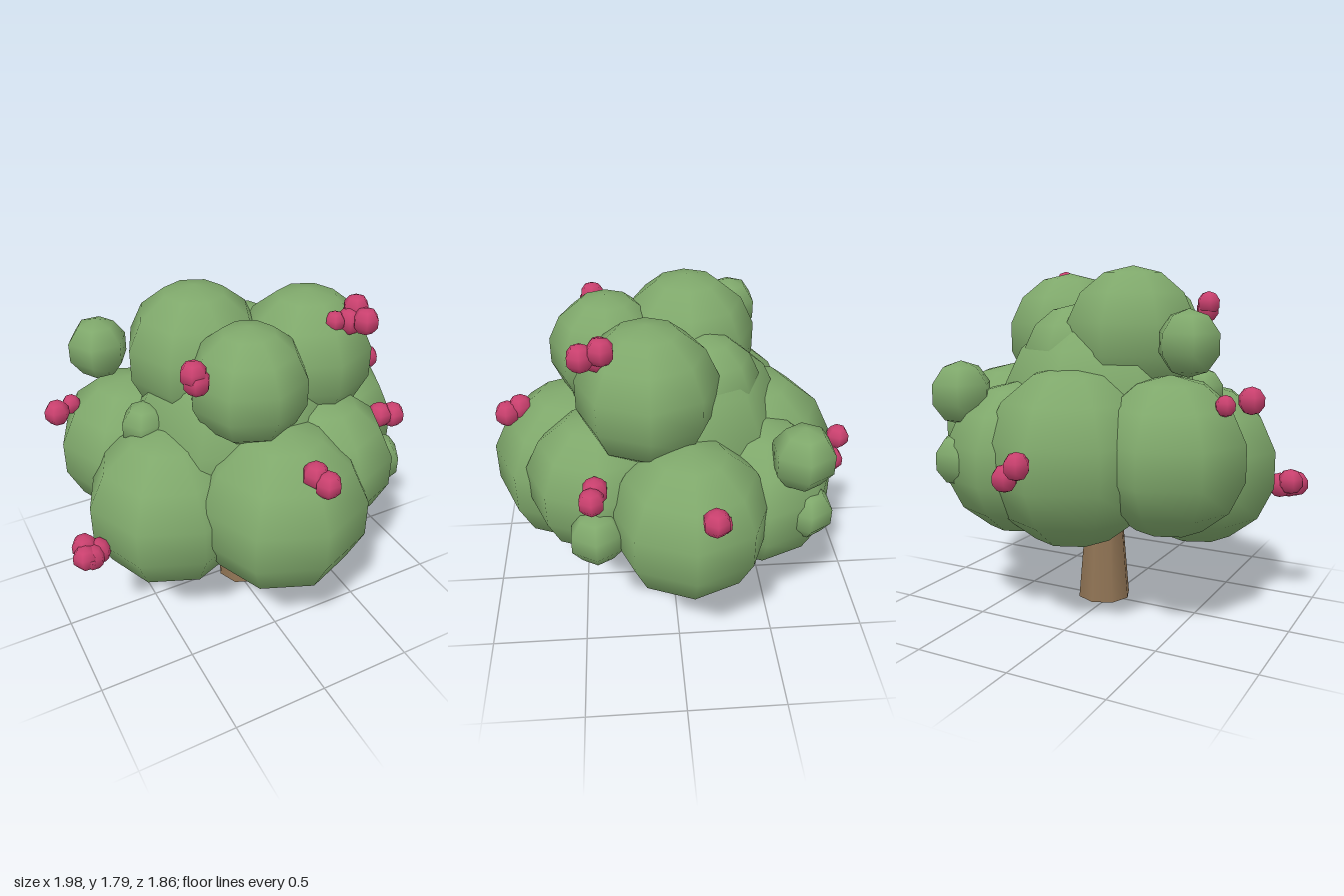
import * as THREE from 'three';

const leaf = new THREE.MeshStandardMaterial({ name: 'leaf green', color: 0x7fa86b });
const bark = new THREE.MeshStandardMaterial({ name: 'bark brown', color: 0x8f7354 });
const blossom = new THREE.MeshStandardMaterial({ name: 'blossom pink', color: 0xc9406e });

// Adds one low-poly ball per entry [x, y, z, radius]
function addBalls(parent, name, entries, material, sides, rows) {
  const group = new THREE.Group();
  group.name = name;
  entries.forEach(([x, y, z, r], i) => {
    const ball = new THREE.Mesh(new THREE.SphereGeometry(r, sides, rows), material);
    ball.name = `${name}${i + 1}`;
    ball.position.set(x, y, z);
    group.add(ball);
  });
  parent.add(group);
}

export function createModel() {
  const tree = new THREE.Group();
  tree.name = 'floweringTree';

  // Tapered trunk, its top hidden in the foliage
  const trunk = new THREE.Mesh(new THREE.CylinderGeometry(0.08, 0.145, 0.75, 8), bark);
  trunk.name = 'trunk';
  trunk.position.set(0.05, 0.375, 0.025);
  tree.add(trunk);

  // Core and lower ring of foliage
  addBalls(tree, 'lowerFoliage', [
    [0.02, 1.02, 0, 0.58],
    [0, 0.845, 0.5, 0.435],
    [-0.44, 0.775, 0.16, 0.425],
    [0.3, 0.93, 0.38, 0.365],
    [0.575, 0.885, -0.04, 0.39],
    [0, 0.87, -0.39, 0.45],
    [-0.46, 0.89, -0.27, 0.39],
    [0.3, 0.84, -0.4, 0.385],
  ], leaf, 8, 7);

  // Crown
  addBalls(tree, 'upperFoliage', [
    [-0.09, 1.44, 0.32, 0.29],
    [0.32, 1.42, 0.14, 0.34],
    [-0.17, 1.44, -0.08, 0.35],
    [0.12, 1.33, -0.15, 0.27],
  ], leaf, 8, 7);

  // Small tufts poking out
  addBalls(tree, 'tuft', [
    [-0.58, 1.435, -0.35, 0.155],
    [0.535, 1.17, -0.565, 0.16],
    [0.63, 0.84, 0.4, 0.14],
    [0.52, 0.845, -0.61, 0.135],
    [-0.5, 1.17, 0.03, 0.12],
  ], leaf, 6, 5);

  // Blossom clusters
  const clusters = [
    [[-0.92, 0.71, 0.225], [-0.935, 0.69, 0.28], [-0.86, 0.68, 0.25], [-0.9, 0.68, 0.28]],
    [[-0.85, 1.18, -0.255], [-0.755, 1.16, -0.335, 0.05]],
    [[-0.395, 1.6, 0.39], [-0.385, 1.565, 0.4]],
    [[0.345, 1.67, 0.35, 0.05], [0.465, 1.71, 0.34], [0.46, 1.68, 0.43], [0.42, 1.66, 0.36]],
    [[0.635, 1.105, 0.395], [0.705, 1.095, 0.41]],
    [[0.92, 1.125, -0.12], [0.875, 1.08, -0.15, 0.05]],
    [[0.01, 1.18, 0.77], [0.035, 1.16, 0.835]],
    [[0, 0.915, -0.885], [0.1, 0.84, -0.835]],
  ];
  clusters.forEach((balls, i) => {
    const entries = balls.map(([x, y, z, r = 0.065]) => [x, y, z, r]);
    addBalls(tree, `blossomCluster${i + 1}Ball`, entries, blossom, 6, 5);
  });

  return tree;
}
